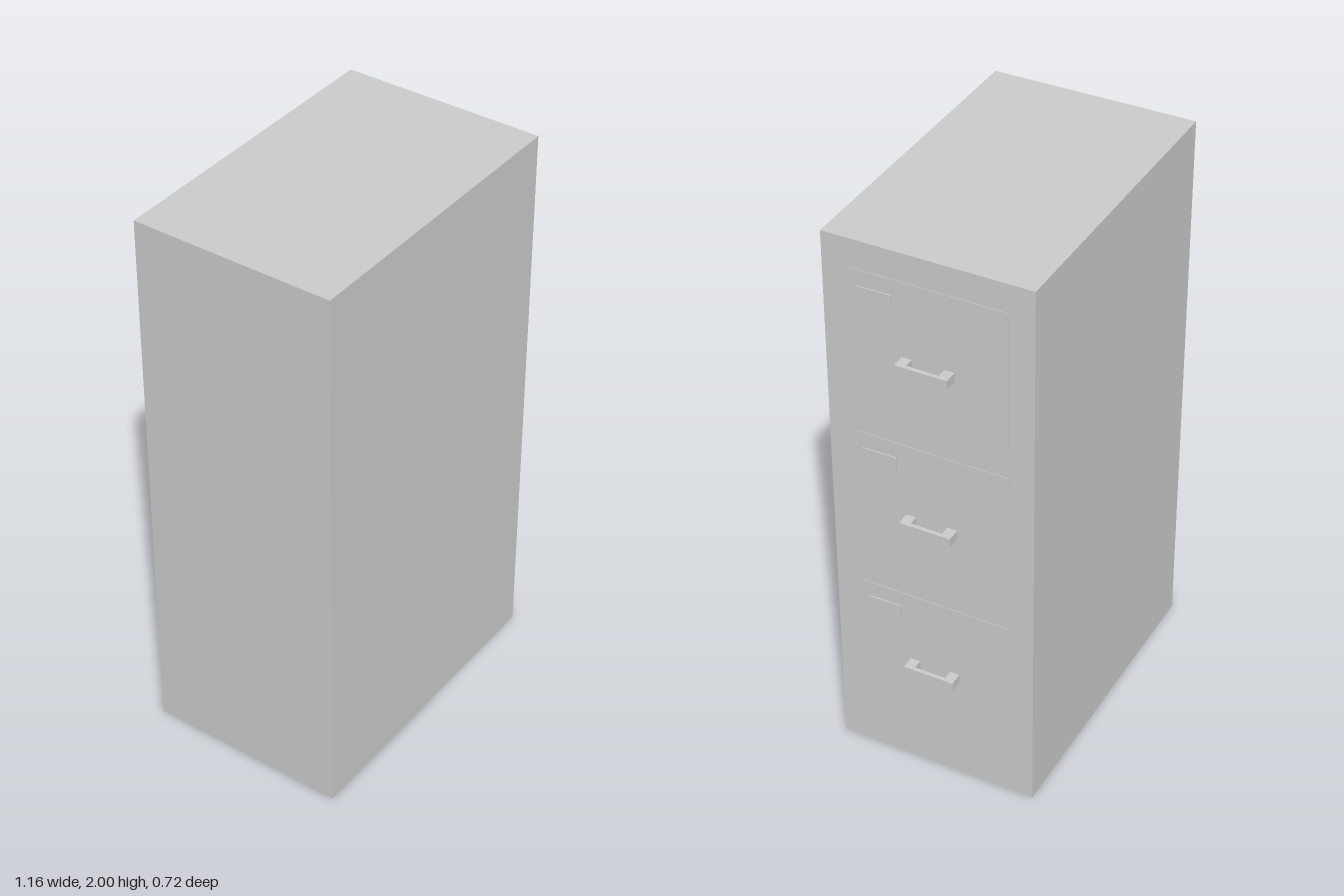
import * as THREE from 'three';

const FACE = 0.526; // x of the cabinet's drawer side

export function createModel() {
  const model = new THREE.Group();
  const material = new THREE.MeshStandardMaterial({ color: 0xcccccc, flatShading: true });

  // Box given by its minimum and maximum corners
  function box(name, [x0, y0, z0], [x1, y1, z1], parent) {
    const mesh = new THREE.Mesh(new THREE.BoxGeometry(x1 - x0, y1 - y0, z1 - z0), material);
    mesh.position.set((x0 + x1) / 2, (y0 + y1) / 2, (z0 + z1) / 2);
    mesh.name = name;
    parent.add(mesh);
  }

  // U-shaped pull, drawn from above (shape x = outward, shape y = -z) and extruded upward
  const pull = new THREE.Shape([
    [0, -0.09], [0.05, -0.09], [0.05, 0.09], [0, 0.09],
    [0, 0.056], [0.036, 0.056], [0.036, -0.056], [0, -0.056],
  ].map(([x, y]) => new THREE.Vector2(x, y)));
  const pullGeometry = new THREE.ExtrudeGeometry(pull, { depth: 0.032, bevelEnabled: false });
  pullGeometry.rotateX(-Math.PI / 2);

  box('cabinetBody', [-0.58, 0, -0.358], [FACE, 2, 0.358], model);

  // Three identical drawers
  for (let i = 0; i < 3; i++) {
    const drawer = new THREE.Group();
    drawer.name = `drawer${i + 1}`;
    drawer.position.set(FACE, 0.2 + i * 0.6, 0);
    box('drawerFront', [-0.01, 0, -0.27], [0.002, 0.5, 0.27], drawer);
    box('labelPlate', [-0.01, 0.392, 0.12], [0.006, 0.444, 0.24], drawer);
    const handle = new THREE.Mesh(pullGeometry, material);
    handle.name = 'handle';
    handle.position.y = 0.2;
    drawer.add(handle);
    model.add(drawer);
  }
  return model;
}
